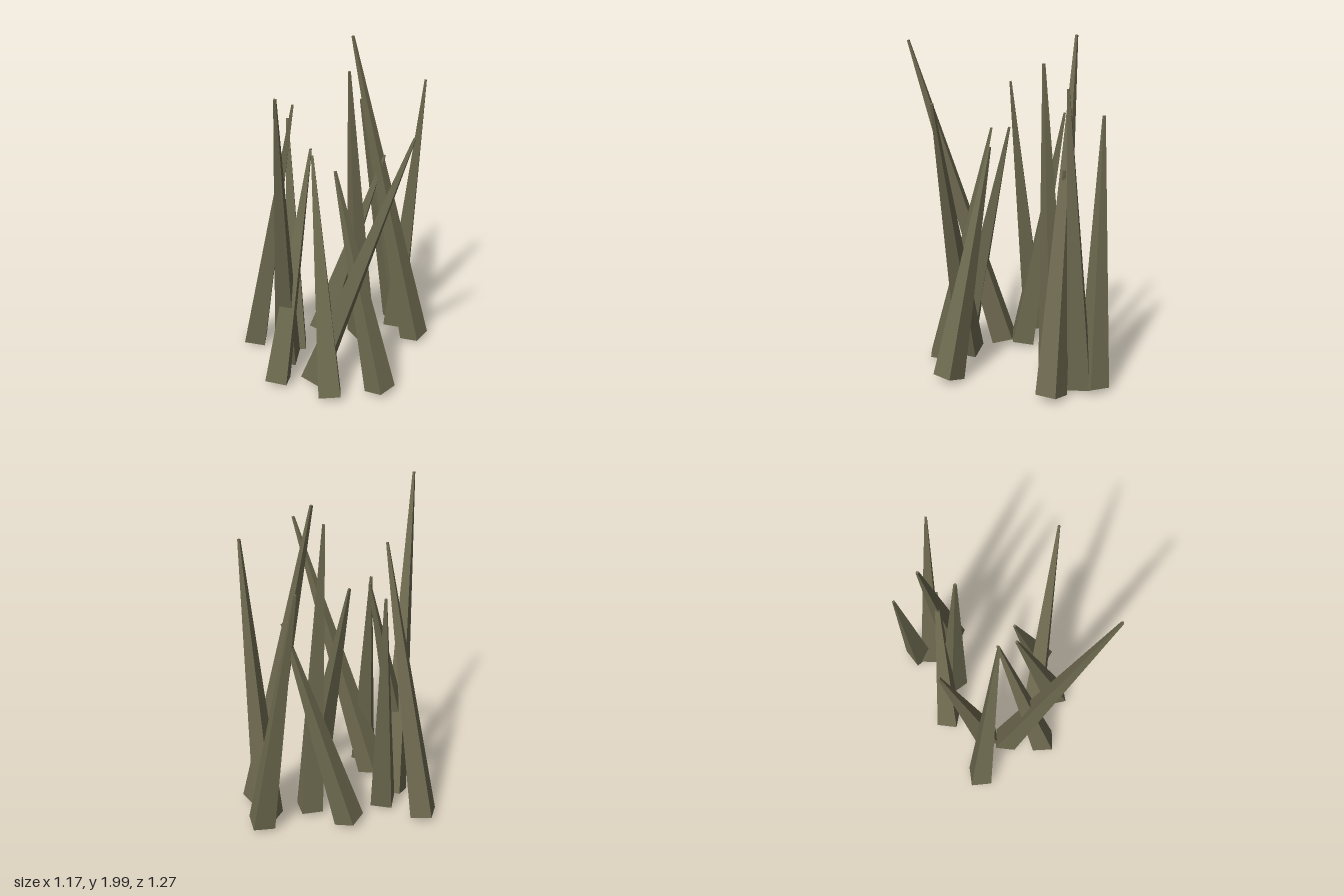
import * as THREE from 'three';

// Each spike: base centre (x, z), tip (x, y, z), direction of one base edge (x, z)
const SPIKES = [
  { base: [0.068, 0.408], tip: [-0.085, 1.44, 0.115], edge: [0.13, -0.025] },
  { base: [0.5, -0.317], tip: [0.06, 2.0, -0.39], edge: [0.055, -0.12] },
  { base: [0.352, -0.465], tip: [0.495, 1.76, -0.385], edge: [1, 0] },
  { base: [0.356, -0.545], tip: [0.09, 1.56, -0.555], edge: [0.08, 0.1] },
  { base: [0.15, -0.295], tip: [0.07, 1.84, -0.21], edge: [0.1, -0.08] },
  { base: [-0.12, -0.322], tip: [0.27, 1.28, -0.35], edge: [-0.015, 0.13] },
  { base: [-0.24, -0.055], tip: [-0.322, 1.5, -0.298], edge: [0.025, 0.125] },
  { base: [-0.517, -0.095], tip: [-0.215, 1.7, 0.02], edge: [0.13, -0.02] },
  { base: [-0.266, 0.07], tip: [-0.165, 1.94, 0.627], edge: [1, 0] },
  { base: [-0.27, 0.323], tip: [-0.115, 1.44, 0.013], edge: [1, 0] },
  { base: [0.357, 0.302], tip: [0.045, 1.35, 0.105], edge: [0.07, -0.11] },
  { base: [-0.054, 0.254], tip: [0.507, 1.67, 0.335], edge: [0.03, -0.13] },
];
const BASE_Y = 0.03;
const BASE_WIDTH = 0.131;
const TIP_WIDTH = 0.013;

// Tapered square prism whose axis runs from the base centre to the tip
function makeSpike({ base, tip, edge }, material) {
  const start = new THREE.Vector3(base[0], BASE_Y, base[1]);
  const end = new THREE.Vector3(...tip);
  const axis = end.clone().sub(start);
  const length = axis.length();
  axis.normalize();

  const geometry = new THREE.CylinderGeometry(
    TIP_WIDTH * Math.SQRT1_2, BASE_WIDTH * Math.SQRT1_2, length, 4);
  geometry.rotateY(Math.PI / 4);

  // Tilt the edge so that it stays square to the axis
  const slope = -(edge[0] * axis.x + edge[1] * axis.z) / axis.y;
  const side = new THREE.Vector3(edge[0], slope, edge[1]).normalize();
  const front = side.clone().cross(axis);

  const mesh = new THREE.Mesh(geometry, material);
  mesh.quaternion.setFromRotationMatrix(new THREE.Matrix4().makeBasis(side, axis, front));
  mesh.position.copy(start).add(end).multiplyScalar(0.5);
  return mesh;
}

export function createModel() {
  const group = new THREE.Group();
  group.name = 'spikeCluster';
  const material = new THREE.MeshStandardMaterial({ color: 0x6e6a50, flatShading: true });
  material.name = 'dull olive';
  SPIKES.forEach((spike, i) => {
    const mesh = makeSpike(spike, material);
    mesh.name = `spike${i + 1}`;
    group.add(mesh);
  });
  return group;
}
